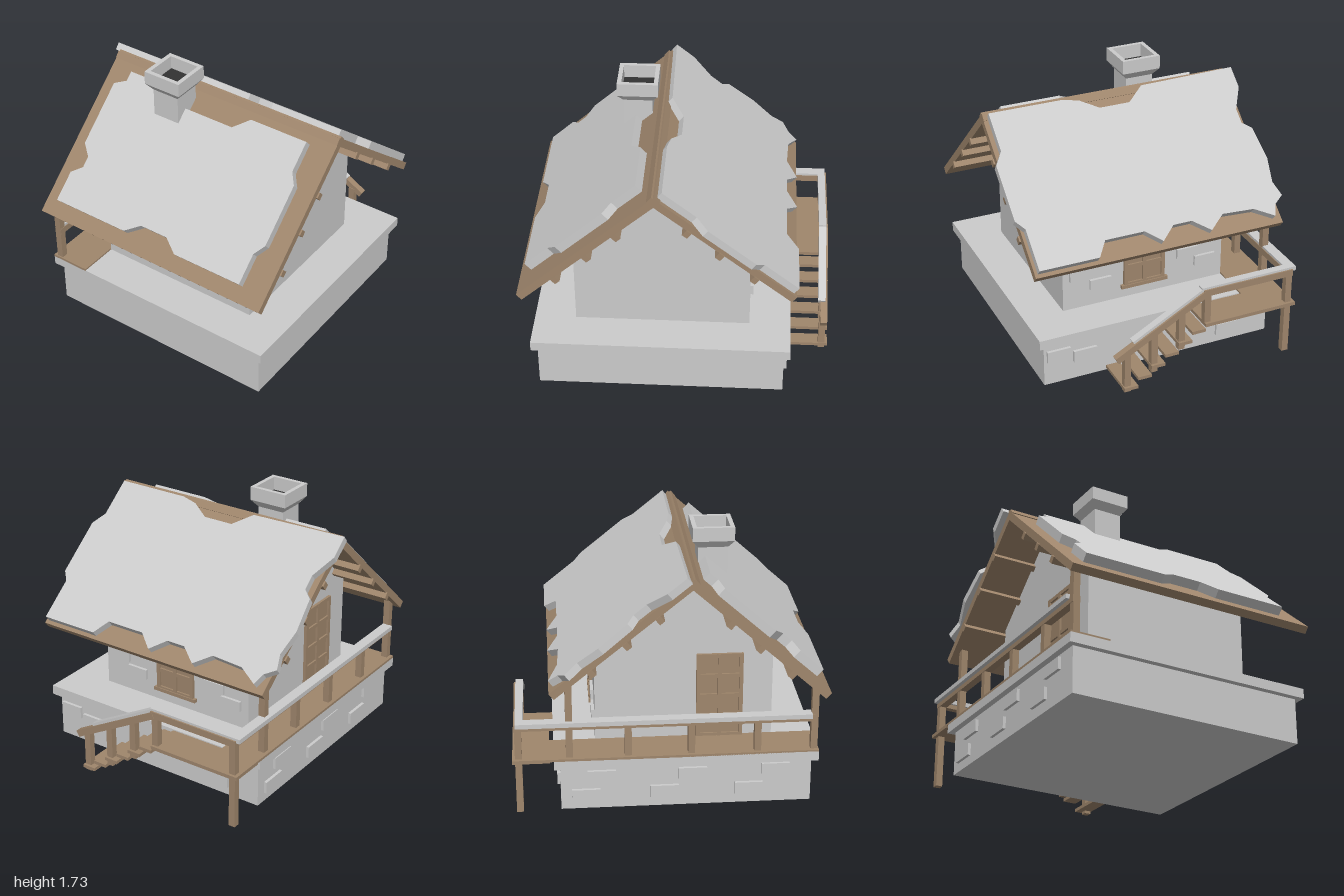
import * as THREE from 'three';

const grey = new THREE.MeshStandardMaterial({ color: 0xcccccc, flatShading: true });
const paint = (color) => {
  const m = grey.clone();
  m.color.set(color);
  return m;
};
const wood = paint(0x9f866c);
const soot = paint(0x333333);

function add(parent, name, geometry, material = grey) {
  const mesh = new THREE.Mesh(geometry, material);
  mesh.name = name;
  parent.add(mesh);
  return mesh;
}

// Box given by its extents on each axis
function block(parent, name, [x0, x1], [y0, y1], [z0, z1], material) {
  const mesh = add(parent, name, new THREE.BoxGeometry(x1 - x0, y1 - y0, z1 - z0), material);
  mesh.position.set((x0 + x1) / 2, (y0 + y1) / 2, (z0 + z1) / 2);
  return mesh;
}

// Box running along a sloped line in the x-y plane
function slopedBar(parent, name, [xa, ya], [xb, yb], z, h, d, material) {
  const mesh = add(parent, name, new THREE.BoxGeometry(Math.hypot(xb - xa, yb - ya), h, d), material);
  mesh.position.set((xa + xb) / 2, (ya + yb) / 2, z);
  mesh.rotation.z = Math.atan2(yb - ya, xb - xa);
  return mesh;
}

function extrude(points, depth) {
  const shape = new THREE.Shape(points.map(([x, y]) => new THREE.Vector2(x, y)));
  return new THREE.ExtrudeGeometry(shape, { depth, bevelEnabled: false });
}

// Roof slope: local y climbs from eave to ridge, local z points outward
function roofSlope(parent, name, eaveY, eaveZ, ridgeY, ridgeZ, purlins) {
  const run = Math.abs(ridgeZ - eaveZ), rise = ridgeY - eaveY;
  const slope = new THREE.Group();
  slope.name = name;
  slope.position.set(0, eaveY, eaveZ);
  slope.rotation.set(-Math.atan2(run, rise), eaveZ < ridgeZ ? Math.PI : 0, 0, 'YXZ');
  const length = Math.hypot(run, rise);
  block(slope, 'roofBoard', [-0.86, 0.86], [0, length], [-0.05, 0], wood);
  for (const s of purlins) block(slope, 'purlin', [-0.87, 0.87], [s - 0.02, s + 0.02], [-0.09, -0.045], wood);
  parent.add(slope);
  return slope;
}

function buildRoof(house) {
  const front = roofSlope(house, 'frontRoof', 0.78, 1.0, 1.57, 0.12, [0.28, 0.55, 0.8]);
  const frontSnow = [
    [-0.75, 0.895], [-0.2, 0.895], [-0.1, 0.945], [0.1, 0.945], [0.2, 0.895], [0.69, 0.895],
    [0.69, 1.03], [0.74, 1.08], [0.74, 1.35], [0.69, 1.4], [0.69, 1.535], [0.28, 1.535],
    [0.18, 1.475], [-0.25, 1.475], [-0.37, 1.535], [-0.67, 1.535], [-0.67, 1.49], [-0.75, 1.46],
    [-0.75, 1.17], [-0.68, 1.12], [-0.68, 1.07], [-0.75, 1.03],
  ].map(([x, y]) => [x, (y - 0.825) / 0.668]);
  add(front, 'frontSnow', extrude(frontSnow, 0.06));

  const back = roofSlope(house, 'backRoof', 0.84, -0.76, 1.57, 0.14, [0.29, 0.57, 0.83]);
  const backSnow = [
    [-0.9, 0.09], [-0.23, 0.08], [-0.11, 0], [0.1, 0], [0.22, 0.06], [0.33, 0.08], [0.83, 0.08],
    [0.83, -0.13], [0.89, -0.2], [0.89, -0.5], [0.84, -0.55], [0.84, -0.77], [0.44, -0.77],
    [0.37, -0.69], [0.1, -0.69], [0, -0.76], [-0.1, -0.69], [-0.23, -0.69], [-0.34, -0.76],
    [-0.45, -0.69], [-0.67, -0.7], [-0.8, -0.76], [-0.83, -0.7], [-0.9, -0.66], [-0.87, -0.58],
    [-0.9, -0.45], [-0.88, -0.27], [-0.82, -0.23], [-0.82, -0.15], [-0.9, -0.03],
  ].map(([x, z]) => [-x, (z + 0.79) / 0.777]);
  add(back, 'backSnow', extrude(backSnow, 0.05));
}

function buildChimney(house) {
  const profile = [[0.095, 1.25], [0.095, 1.59], [0.133, 1.64], [0.133, 1.73], [0.105, 1.73], [0.105, 1.6]];
  const points = profile.map(([half, y]) => new THREE.Vector2(half * Math.SQRT2, y));
  const chimney = add(house, 'chimney', new THREE.LatheGeometry(points, 4, Math.PI / 4));
  chimney.position.set(-0.275, 0, 0.3);
  block(house, 'chimneyFlue', [-0.38, -0.17], [1.61, 1.64], [0.195, 0.405], soot);
}

// Framed panel in the local x-y plane, facing +z, standing on y = 0
function framedPanel(name, w, h, cols, rows) {
  const panel = new THREE.Group();
  panel.name = name;
  const bar = 0.025;
  block(panel, 'panel', [-w / 2, w / 2], [0, h], [-0.01, 0.006], wood);
  for (let i = 0; i <= cols; i++) {
    const x = -w / 2 + bar / 2 + (i * (w - bar)) / cols;
    block(panel, 'upright', [x - bar / 2, x + bar / 2], [0, h], [0, 0.02], wood);
  }
  for (let j = 0; j <= rows; j++) {
    const y = bar / 2 + (j * (h - bar)) / rows;
    block(panel, 'crossbar', [-w / 2, w / 2], [y - bar / 2, y + bar / 2], [0, 0.018], wood);
  }
  return panel;
}

function buildWalls(house) {
  block(house, 'foundation', [-0.8, 0.8], [0, 0.3], [-0.7, 0.9]);
  block(house, 'foundationSlab', [-0.84, 0.84], [0.3, 0.365], [-0.74, 0.94]);

  const gable = [[0.67, 0.36], [0.67, 1.02], [0.13, 1.5], [-0.47, 1.02], [-0.47, 0.36]];
  const walls = extrude(gable, 1.14).rotateY(-Math.PI / 2).translate(0.57, 0, 0);
  add(house, 'walls', walls);

  const door = framedPanel('door', 0.3, 0.58, 2, 4);
  door.position.set(-0.57, 0.37, 0.33);
  door.rotation.y = -Math.PI / 2;
  const windowPanel = framedPanel('window', 0.29, 0.29, 2, 2);
  windowPanel.position.set(0, 0.45, -0.47);
  windowPanel.rotation.y = Math.PI;
  house.add(door, windowPanel);
  for (const y of [0.45, 0.735]) {
    block(house, 'windowLedge', [-0.165, 0.165], [y - 0.012, y + 0.012], [-0.495, -0.47], wood);
  }

  // Raised stones on the back wall, the foundation back and the porch side
  for (const [x, y] of [[0.45, 0.61], [0.31, 0.52], [-0.31, 0.6], [-0.44, 0.52]]) {
    block(house, 'wallStone', [x - 0.075, x + 0.075], [y - 0.035, y + 0.035], [-0.49, -0.46]);
  }
  for (const [x, y] of [[0.7, 0.21], [0.52, 0.17], [-0.3, 0.2], [-0.5, 0.1]]) {
    block(house, 'foundationStone', [x - 0.08, x + 0.08], [y - 0.04, y + 0.04], [-0.72, -0.69]);
  }
  for (const [z, y] of [[-0.54, 0.1], [-0.44, 0.23], [-0.04, 0.11], [0.14, 0.23], [0.5, 0.11], [0.67, 0.24]]) {
    block(house, 'foundationStone', [-0.82, -0.79], [y - 0.04, y + 0.04], [z - 0.09, z + 0.09]);
  }
}

function buildPorch(house) {
  const porch = new THREE.Group();
  porch.name = 'porch';
  house.add(porch);
  const post = (x, z, y0, y1) =>
    block(porch, 'post', [x - 0.022, x + 0.022], [y0, y1], [z - 0.022, z + 0.022], wood);

  block(porch, 'deck', [-0.84, -0.57], [0.36, 0.376], [-0.77, 0.94], wood);
  block(porch, 'landing', [-0.84, -0.19], [0.352, 0.376], [-1, -0.765], wood);

  // Side railing with two tall posts carrying the roof
  for (const z of [-0.27, 0.13, 0.55]) post(-0.795, z, 0.37, 0.58);
  post(-0.795, -0.64, 0.37, 0.87);
  post(-0.795, 0.91, 0.37, 0.83);
  post(-0.795, -0.96, 0, 0.58);
  block(porch, 'sideRail', [-0.82, -0.77], [0.57, 0.615], [-0.985, 0.93], wood);
  block(porch, 'sideRailSnow', [-0.845, -0.775], [0.6, 0.63], [-0.97, 0.89]);

  // Landing railing
  post(-0.21, -0.96, 0.37, 0.58);
  block(porch, 'landingRail', [-0.82, -0.18], [0.57, 0.615], [-0.985, -0.94], wood);
  block(porch, 'landingRailSnow', [-0.845, -0.17], [0.6, 0.63], [-0.975, -0.925]);

  // Stairs descending toward +x
  for (let i = 0; i < 6; i++) {
    const x = -0.19 + i * 0.094, y = 0.33 - i * 0.06;
    block(porch, 'step', [x, x + 0.094], [y - 0.011, y + 0.011], [-1, -0.71], wood);
  }
  for (const [x, y0, y1] of [[-0.03, 0.22, 0.49], [0.16, 0.1, 0.38], [0.345, 0, 0.28]]) post(x, -0.96, y0, y1);
  slopedBar(porch, 'stairRail', [-0.2, 0.59], [0.42, 0.25], -0.965, 0.045, 0.045, wood);
  slopedBar(porch, 'stairRailSnow', [-0.18, 0.608], [0.3, 0.345], -0.95, 0.03, 0.05);
}

export function createModel() {
  const house = new THREE.Group();
  house.name = 'snowyCabin';
  buildWalls(house);
  buildRoof(house);
  buildChimney(house);
  buildPorch(house);
  return house;
}
